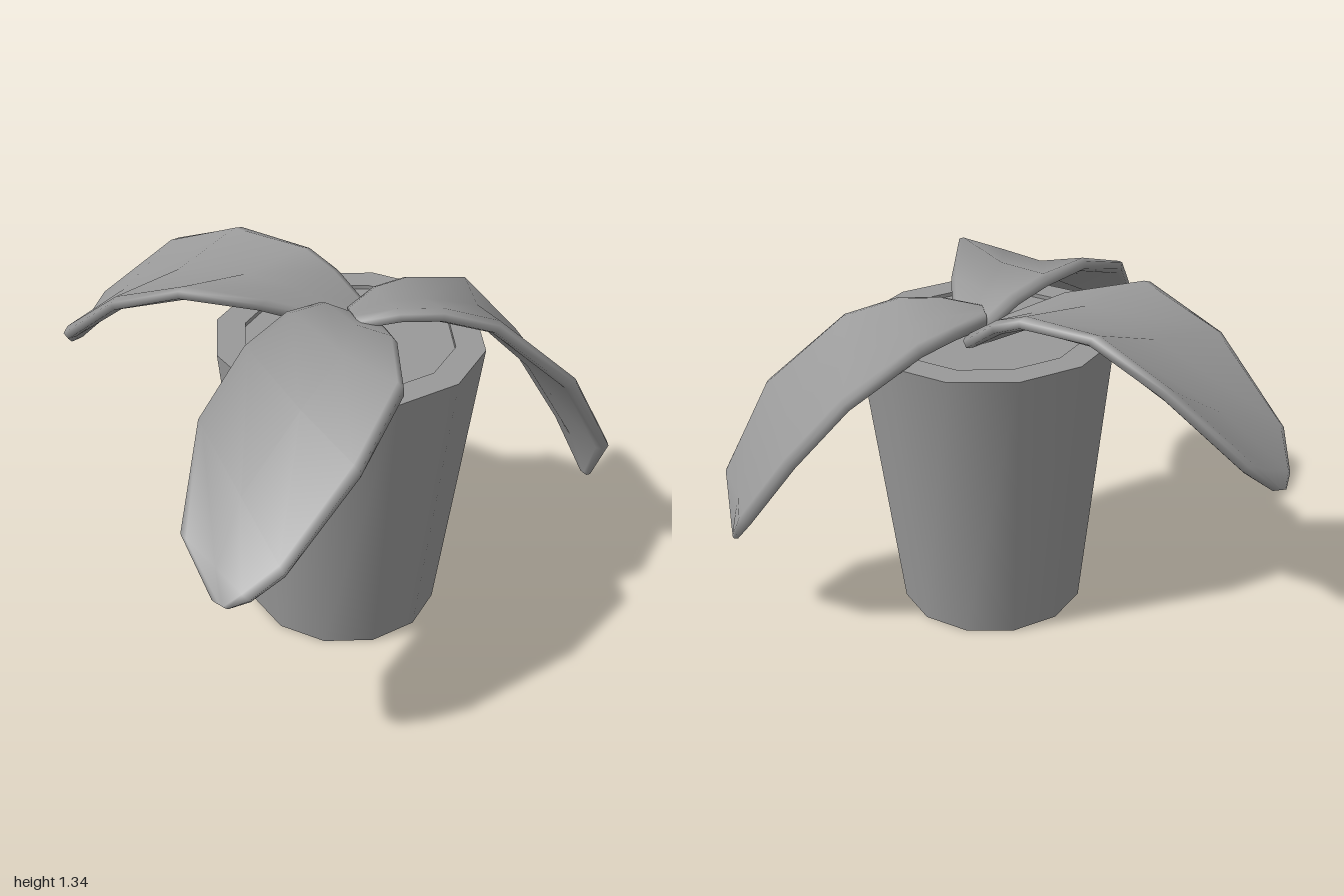
import * as THREE from 'three';

const HEIGHT = 1.14, SIDES = 12, GREY = 0x999999;

function addMesh(parent, name, geometry, y = 0, side = THREE.FrontSide) {
  const mesh = new THREE.Mesh(geometry, new THREE.MeshStandardMaterial({ color: GREY, side }));
  mesh.name = name;
  mesh.position.y = y;
  parent.add(mesh);
}

// Thick leaf blade: each station is [left edge, right edge], from base to tip
function leafGeometry(stations) {
  const inset = 0.03, valley = 0.03, n = 10;
  const edges = stations.map(s => [new THREE.Vector3(...s.slice(0, 3)), new THREE.Vector3(...s.slice(3))]);
  const mids = edges.map(([l, r]) => l.clone().add(r).multiplyScalar(0.5));
  const positions = [], index = [], last = edges.length - 1;
  edges.forEach(([l, r], i) => {
    const across = r.clone().sub(l), width = across.length();
    const along = mids[Math.min(i + 1, last)].clone().sub(mids[Math.max(i - 1, 0)]);
    const normal = across.clone().cross(along).normalize();
    const t = Math.min(inset / width, 0.25), dip = valley * Math.min(1, width / 0.5);
    // Blunt rounded rim, thinner at the tip
    const half = i === last ? 0.014 : 0.026, rim = half * 0.55;
    const loop = [[0, rim], [t, half], [0.5, half - dip], [1 - t, half], [1, rim],
      [1, -rim], [1 - t, -half], [0.5, -half - dip], [t, -half], [0, -rim]];
    for (const [u, h] of loop) {
      positions.push(...l.clone().addScaledVector(across, u).addScaledVector(normal, h).toArray());
    }
    if (i === last) return;
    for (let j = 0; j < n; j++) {
      const a = i * n + j, b = i * n + (j + 1) % n;
      index.push(a, b, a + n, b, b + n, a + n);
    }
  });
  // End caps
  for (let j = 1; j < n - 1; j++) {
    index.push(0, j + 1, j, last * n, last * n + j, last * n + j + 1);
  }
  const geometry = new THREE.BufferGeometry();
  geometry.setAttribute('position', new THREE.Float32BufferAttribute(positions, 3));
  geometry.setIndex(index);
  geometry.computeVertexNormals();
  return geometry;
}

const LEAVES = {
  backLeaf: [
    [0.08, 1.15, 0.24, 0.25, 1.15, 0.19],
    [-0.16, 1.26, 0.04, 0.24, 1.25, 0.05],
    [-0.355, 1.31, -0.17, 0.225, 1.30, -0.07],
    [-0.415, 1.18, -0.46, 0.17, 1.31, -0.36],
    [-0.39, 0.92, -0.78, 0.115, 1.19, -0.65],
    [-0.29, 0.82, -0.89, -0.04, 0.94, -0.89],
    [-0.24, 0.79, -0.92, -0.18, 0.81, -0.92],
  ],
  rightLeaf: [
    [0.14, 1.16, 0.37, 0.12, 1.17, 0.20],
    [0.00, 1.23, 0.53, 0.00, 1.25, 0.17],
    [-0.25, 1.26, 0.765, -0.16, 1.28, 0.17],
    [-0.53, 1.11, 0.825, -0.41, 1.27, 0.21],
    [-0.84, 0.87, 0.79, -0.71, 1.16, 0.29],
    [-0.935, 0.79, 0.73, -0.955, 0.92, 0.45],
    [-0.98, 0.76, 0.68, -0.99, 0.77, 0.62],
  ],
  leftLeaf: [
    [0.13, 1.19, 0.20, 0.06, 1.20, 0.31],
    [0.30, 1.20, 0.18, 0.16, 1.23, 0.42],
    [0.46, 1.18, 0.19, 0.27, 1.23, 0.53],
    [0.78, 1.07, 0.22, 0.42, 1.17, 0.66],
    [0.93, 0.84, 0.365, 0.65, 0.91, 0.86],
    [0.99, 0.53, 0.60, 0.83, 0.58, 0.925],
    [0.94, 0.37, 0.77, 0.90, 0.37, 0.83],
  ],
};

export function createModel() {
  const model = new THREE.Group();
  model.name = 'pottedPlant';

  // Tapered twelve-sided pot with a flat rim and slightly sunken soil
  const pot = new THREE.Group();
  pot.name = 'pot';
  pot.position.set(0.07, 0, 0.262);
  model.add(pot);
  const rim = 0.49, foot = 0.36, inner = 0.383, depth = 0.015;
  addMesh(pot, 'potWall', new THREE.CylinderGeometry(rim, foot, HEIGHT, SIDES, 1, true), HEIGHT / 2);
  addMesh(pot, 'potBase', new THREE.CircleGeometry(foot, SIDES).rotateX(Math.PI / 2));
  addMesh(pot, 'potRim', new THREE.RingGeometry(inner, rim, SIDES).rotateX(-Math.PI / 2), HEIGHT);
  addMesh(pot, 'rimInside', new THREE.CylinderGeometry(inner, inner, depth, SIDES, 1, true),
    HEIGHT - depth / 2, THREE.DoubleSide);
  addMesh(pot, 'soil', new THREE.CircleGeometry(inner, SIDES).rotateX(-Math.PI / 2), HEIGHT - depth);

  // Three drooping leaves
  for (const [name, stations] of Object.entries(LEAVES)) addMesh(model, name, leafGeometry(stations));
  return model;
}
